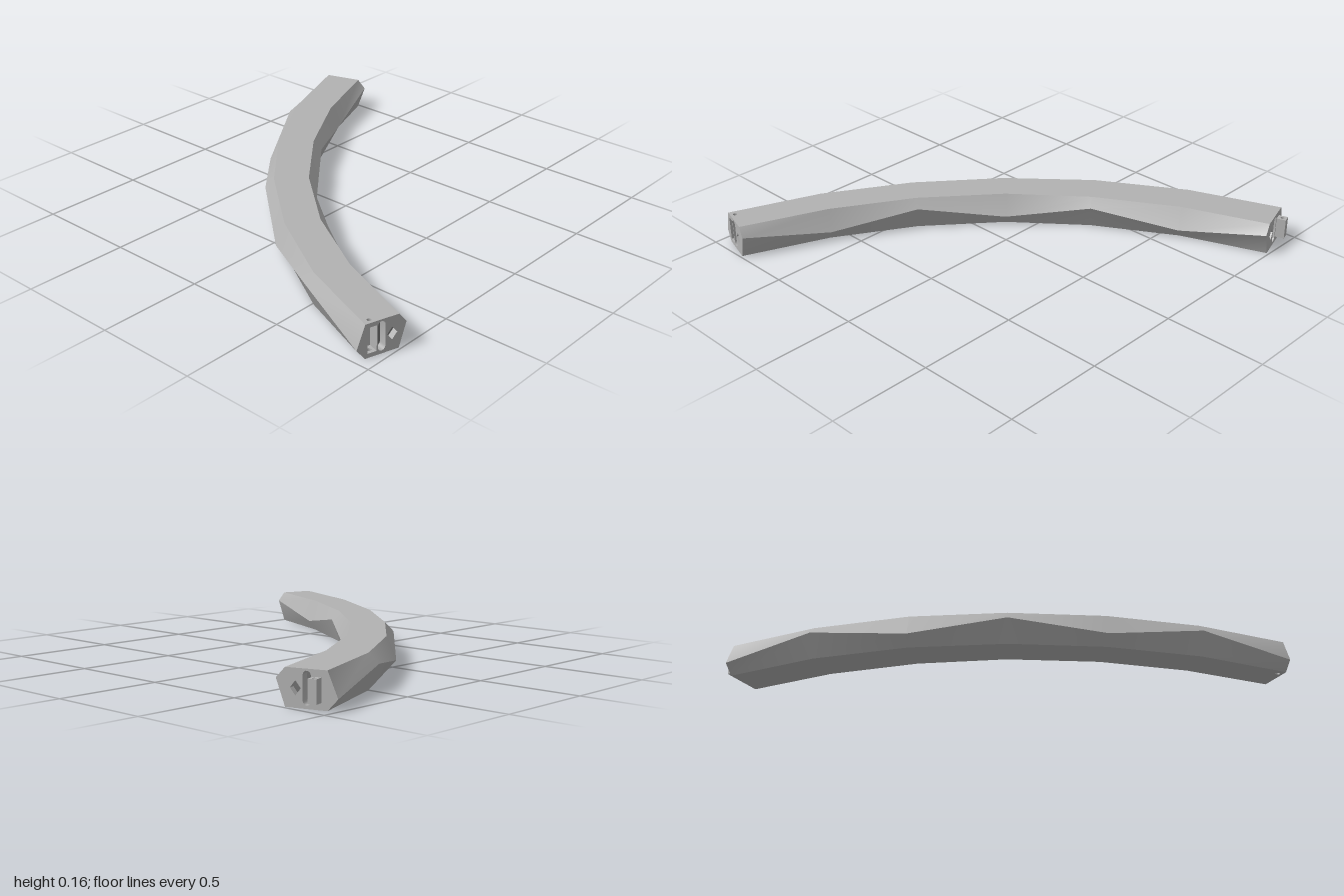
import * as THREE from 'three';
import { toCreasedNormals } from 'three/addons/utils/BufferGeometryUtils.js';

const TOP = 0.16;
const V3 = (x, y, z) => new THREE.Vector3(x, y, z);

// Skin a surface between rows of points
function skin(rows) {
  const pos = [];
  for (let i = 0; i < rows.length - 1; i++) {
    for (let j = 0; j < rows[i].length - 1; j++) {
      const a = rows[i][j], b = rows[i][j + 1], c = rows[i + 1][j + 1], d = rows[i + 1][j];
      for (const p of [a, b, d, b, c, d]) pos.push(p.x, p.y, p.z);
    }
  }
  const g = new THREE.BufferGeometry();
  g.setAttribute('position', new THREE.Float32BufferAttribute(pos, 3));
  return toCreasedNormals(g, 0.6);
}

const polygon = (pts) => new THREE.Shape(pts.map(([x, y]) => new THREE.Vector2(x, y)));
const circle = (x, y, r) => new THREE.Path().absarc(x, y, r, 0, Math.PI * 2, true);

export function createModel() {
  const group = new THREE.Group();
  const stone = new THREE.MeshStandardMaterial({ color: 0xb2b2b2, side: THREE.DoubleSide });
  const dark = new THREE.MeshStandardMaterial({ color: 0x707070, side: THREE.DoubleSide });
  const add = (parent, name, geo, mat = stone) => {
    const m = new THREE.Mesh(geo, mat);
    m.name = name;
    parent.add(m);
    return m;
  };

  // Plan of the two widest edges, [x, z] from the back end to the front end
  const outer = [[-1, -0.92], [-0.83, -0.48], [-0.58, -0.07], [-0.27, 0.28], [0.09, 0.58], [0.49, 0.82], [0.93, 0.99]];
  const inner = [[-0.74, -1], [-0.585, -0.6], [-0.365, -0.225], [-0.1, 0.1], [0.23, 0.38], [0.6, 0.6], [1, 0.765]];

  // Six-sided sections whose side ridges zigzag up and down
  const rings = outer.map((o, i) => {
    const at = (t, y) => V3(o[0] + (inner[i][0] - o[0]) * t, y, o[1] + (inner[i][1] - o[1]) * t);
    const [lo, hi] = i % 2 ? [0.115, 0.05] : [0.05, 0.115];
    return [at(0.17, TOP), at(0, lo), at(0.17, 0), at(0.85, 0), at(1, hi), at(0.85, TOP)];
  });
  add(group, 'outerSide', skin(rings.map((r) => r.slice(0, 3))));
  add(group, 'innerSide', skin(rings.map((r) => r.slice(3))));

  // Local frames of the two ends: x across, y up, z outward
  const frame = (ring, sign) => {
    const u = V3().subVectors(ring[4], ring[1]).setY(0).normalize().multiplyScalar(sign);
    const n = V3().crossVectors(u, V3(0, 1, 0));
    const c = V3().addVectors(ring[1], ring[4]).multiplyScalar(0.5).setY(0);
    return new THREE.Matrix4().makeBasis(u, V3(0, 1, 0), n).setPosition(c);
  };
  const frontFrame = frame(rings[6], 1);
  const backFrame = frame(rings[0], -1);

  // Flat top and bottom, pierced by the pin hole near the front end
  const SLOT_U = -0.045, PIN_IN = -0.024, PIN_R = 0.01;
  const pin = V3(SLOT_U, 0, PIN_IN).applyMatrix4(frontFrame);
  const plate = (sign) => {
    const pts = [...rings.map((r) => r[0]), ...rings.map((r) => r[5]).reverse()];
    const s = polygon(pts.map((p) => [p.x, sign * p.z]));
    s.holes.push(circle(pin.x, sign * pin.z, PIN_R));
    return new THREE.ShapeGeometry(s).rotateX(sign * Math.PI / 2);
  };
  add(group, 'topFace', plate(-1).translate(0, TOP, 0));
  add(group, 'bottomFace', plate(1));

  // Outlines of the end openings
  const capsule = () => {
    const pts = [];
    for (let k = 0; k < 16; k++) {
      const a = (k + (k > 7 ? -8 : 0)) / 7 * Math.PI + (k > 7 ? Math.PI : 0);
      pts.push([Math.cos(a) * 0.018, (k > 7 ? 0.032 : 0.134) + Math.sin(a) * 0.018]);
    }
    return pts;
  };
  const diamond = (u) => [[u - 0.024, 0.08], [u, 0.05], [u + 0.024, 0.08], [u, 0.11]];
  const slot = [[SLOT_U - 0.022, 0.02], [SLOT_U + 0.022, 0.02], [SLOT_U + 0.022, 0.14], [SLOT_U - 0.022, 0.14]];

  const recess = (parent, name, pts, depth) => {
    const loop = [...pts, pts[0]];
    add(parent, name + 'Walls', skin([0, -depth].map((z) => loop.map(([x, y]) => V3(x, y, z)))));
    add(parent, name + 'Floor', new THREE.ShapeGeometry(polygon(pts)).translate(0, 0, -depth), dark);
  };

  // End face with its openings
  const makeEnd = (name, ring, matrix, diamondU, extraHoles) => {
    const end = new THREE.Group();
    end.name = name;
    end.applyMatrix4(matrix);
    const inv = matrix.clone().invert();
    const face = polygon(ring.map((p) => p.clone().applyMatrix4(inv)).map((p) => [p.x, p.y]));
    const cap = capsule(), dia = diamond(diamondU);
    for (const h of [cap, dia, ...extraHoles]) face.holes.push(polygon(h));
    add(end, 'endFace', new THREE.ShapeGeometry(face));
    recess(end, 'keyway', cap, 0.04);
    recess(end, 'diamondSocket', dia, 0.03);
    group.add(end);
    return end;
  };
  const front = makeEnd('frontEnd', rings[6], frontFrame, 0.05, [slot]);
  const back = makeEnd('backEnd', rings[0], backFrame, -0.05, []);

  // Slot in the front end, with the pin hole running through it
  const [l, r, d] = [SLOT_U - 0.022, SLOT_U + 0.022, -0.05];
  const path = [[l, 0], [l, d], [r, d], [r, 0]];
  add(front, 'slotWalls', skin([0.02, 0.14].map((y) => path.map(([x, z]) => V3(x, y, z)))));
  for (const [y, yPin] of [[0.02, 0.01], [0.14, 0.15]]) {
    const s = polygon(path);
    s.holes.push(circle(SLOT_U, PIN_IN, PIN_R));
    add(front, 'slotPlate', new THREE.ShapeGeometry(s).rotateX(Math.PI / 2).translate(0, y, 0));
    add(front, 'pinHole', new THREE.CylinderGeometry(PIN_R, PIN_R, 0.02, 12, 1, true).translate(SLOT_U, yPin, PIN_IN));
  }

  // Matching tab on the back end
  const tab = polygon([[-0.019, 0], [0.019, 0], [0.019, 0.045], [-0.019, 0.045]]);
  tab.holes.push(circle(0, 0.024, PIN_R));
  const tabGeo = new THREE.ExtrudeGeometry(tab, { depth: 0.1, bevelEnabled: false, curveSegments: 8 });
  add(back, 'tab', tabGeo.rotateX(Math.PI / 2).translate(-SLOT_U, 0.13, 0));

  return group;
}
